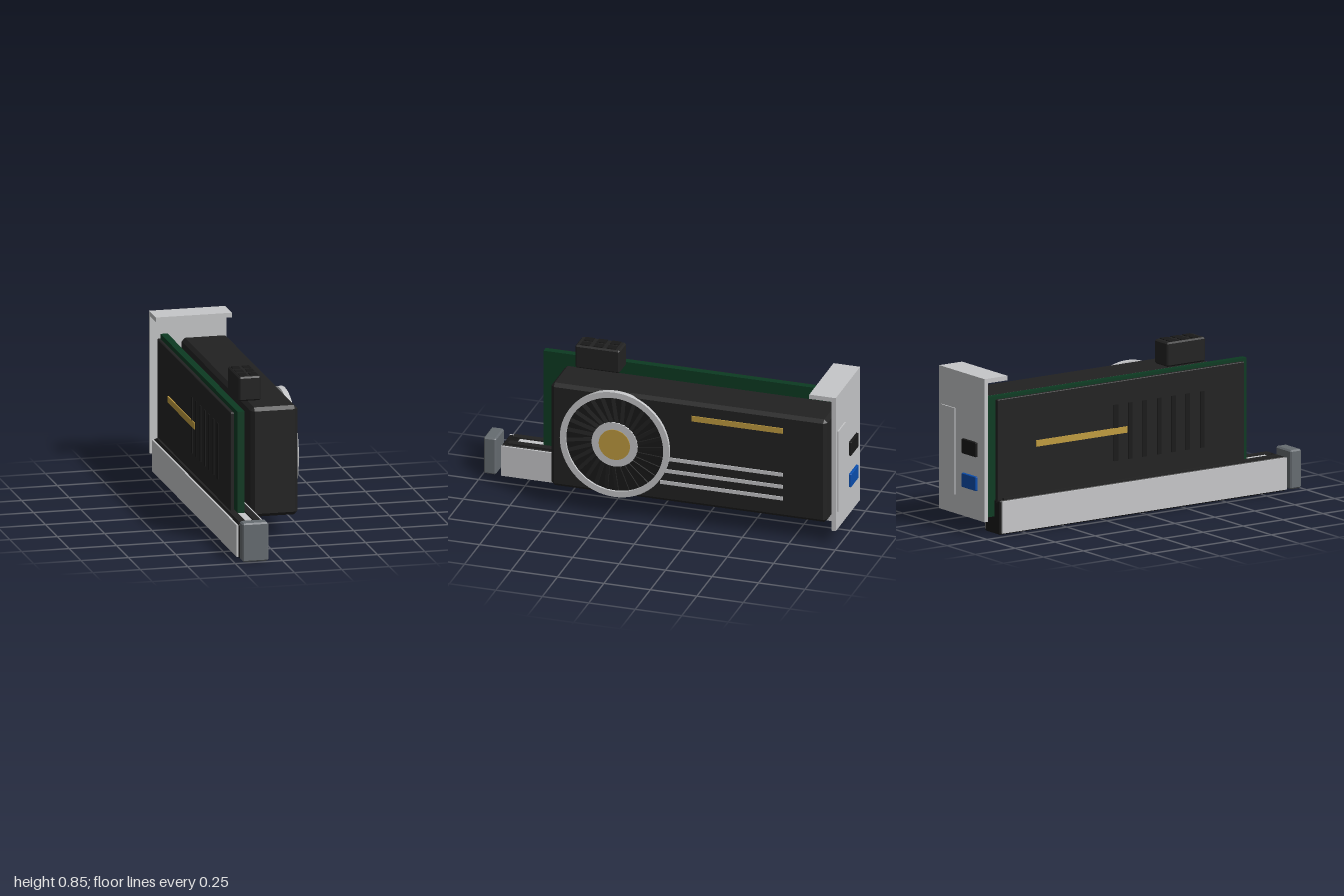
import * as THREE from 'three';
import { ConvexGeometry } from 'three/addons/geometries/ConvexGeometry.js';

const paint = (name, color) => {
  const m = new THREE.MeshStandardMaterial({ color });
  m.name = name;
  return m;
};

export function createModel() {
  const root = new THREE.Group();
  root.name = 'graphicsCardInSlot';
  const black = paint('matte black', 0x222222);
  const dark = paint('dark black', 0x191919);
  const silver = paint('silver', 0xc6c7c9);
  const green = paint('board green', 0x0c3a22);
  const gold = paint('gold', 0xbf9b40);
  const grey = paint('latch grey', 0x666c71);
  const blue = paint('port blue', 0x0a4eae);

  const add = (name, geometry, material, parent = root) => {
    const mesh = new THREE.Mesh(geometry, material);
    mesh.name = name;
    parent.add(mesh);
    return mesh;
  };

  // Box given by its limits on each axis; a bevel above zero chamfers every edge
  const box = (name, material, [x0, x1], [y0, y1], [z0, z1], bevel = 0, parent = root) => {
    const half = [(x1 - x0) / 2, (y1 - y0) / 2, (z1 - z0) / 2];
    let geometry;
    if (bevel) {
      const points = [];
      for (const sx of [-1, 1]) for (const sy of [-1, 1]) for (const sz of [-1, 1])
        for (let axis = 0; axis < 3; axis++) {
          const inset = half.map((h, i) => (i === axis ? h : h - bevel));
          points.push(new THREE.Vector3(sx * inset[0], sy * inset[1], sz * inset[2]));
        }
      geometry = new ConvexGeometry(points);
    } else geometry = new THREE.BoxGeometry(...half.map(h => 2 * h));
    const mesh = add(name, geometry, material, parent);
    mesh.position.set((x0 + x1) / 2, (y0 + y1) / 2, (z0 + z1) / 2);
    return mesh;
  };

  // Slot: body, side plates, rails either side of the contact strip, end latch
  box('slotBody', dark, [-0.207, -0.073], [0, 0.178], [-0.89, 0.9], 0.006);
  box('slotSideLeft', silver, [-0.073, -0.063], [0.008, 0.175], [-0.88, 0.9]);
  box('slotSideRight', silver, [-0.217, -0.207], [0.008, 0.175], [-0.88, 0.9]);
  box('slotRailLeft', black, [-0.118, -0.082], [0.17, 0.188], [-0.86, 0.87]);
  box('slotRailRight', black, [-0.2, -0.164], [0.17, 0.188], [-0.86, 0.87]);
  box('slotContactStrip', silver, [-0.162, -0.12], [0.17, 0.182], [-0.83, 0.83]);
  box('slotLatch', grey, [-0.21, -0.073], [0.002, 0.207], [0.93, 0.998], 0.008);

  // Circuit board and backplate with its vents
  box('circuitBoard', green, [-0.159, -0.122], [0.09, 0.717], [-0.935, 0.69]);
  box('backplate', black, [-0.188, -0.168], [0.16, 0.705], [-0.89, 0.655], 0.003);
  for (let i = 0; i < 7; i++) {
    const z = -0.15 + i * 0.09;
    box('backplateVent', dark, [-0.192, -0.186], [0.29, 0.585], [z - 0.013, z + 0.013]);
  }
  box('backplateStripe', gold, [-0.194, -0.186], [0.43, 0.463], [-0.65, -0.08]);

  // Cooler shroud and its stripes
  box('shroud', black, [-0.052, 0.195], [0.115, 0.693], [-0.935, 0.55], 0.018);
  box('shroudGoldStripe', gold, [0.192, 0.2], [0.59, 0.62], [-0.7, -0.21]);
  for (const y of [0.224, 0.29, 0.358])
    box('shroudStripe', silver, [0.192, 0.2], [y - 0.01, y + 0.01], [-0.7, -0.04]);

  // Fan, built around z and turned to face +x
  const fan = new THREE.Group();
  fan.name = 'fan';
  fan.position.set(0.185, 0.405, 0.2);
  fan.rotation.y = Math.PI / 2;
  root.add(fan);
  const disc = (name, material, radius, z0, z1) => {
    const geometry = new THREE.CylinderGeometry(radius, radius, z1 - z0, 48);
    geometry.rotateX(Math.PI / 2).translate(0, 0, (z0 + z1) / 2);
    return add(name, geometry, material, fan);
  };
  const ring = new THREE.Shape().absarc(0, 0, 0.294, 0, Math.PI * 2, false);
  ring.holes.push(new THREE.Path().absarc(0, 0, 0.262, 0, Math.PI * 2, true));
  add('fanRing', new THREE.ExtrudeGeometry(ring, { depth: 0.028, bevelEnabled: false, curveSegments: 32 }), silver, fan);
  disc('fanWell', dark, 0.264, 0, 0.016);
  const bladeCount = 28;
  for (let i = 0; i < bladeCount; i++) {
    const geometry = new THREE.BoxGeometry(0.145, 0.02, 0.006);
    geometry.rotateX(0.25).rotateZ(0.15).translate(0.188, 0, 0.018);
    add('fanBlade', geometry, black, fan).rotation.z = (i / bladeCount) * Math.PI * 2;
  }
  disc('fanHub', silver, 0.123, 0, 0.027);
  disc('fanCap', gold, 0.084, 0.02, 0.03);

  // Power connector with a grid of sockets
  box('powerConnector', black, [-0.098, 0.018], [0.713, 0.841], [0.236, 0.476], 0.008);
  for (const x of [-0.068, -0.012])
    for (const z of [0.285, 0.356, 0.427])
      box('powerSocket', dark, [x - 0.02, x + 0.02], [0.838, 0.845], [z - 0.024, z + 0.024]);

  // Rear bracket with top lip, vent panel and ports
  box('bracketPlate', silver, [-0.207, 0.195], [0.08, 0.83], [-0.985, -0.963]);
  box('bracketLip', silver, [-0.207, 0.195], [0.806, 0.83], [-0.963, -0.842]);
  box('bracketVentPanel', silver, [0.05, 0.172], [0.18, 0.632], [-0.992, -0.984]);
  box('blackPort', dark, [-0.145, -0.02], [0.41, 0.487], [-0.998, -0.98], 0.003);
  box('bluePort', blue, [-0.145, -0.02], [0.233, 0.307], [-0.998, -0.98], 0.003);

  return root;
}
